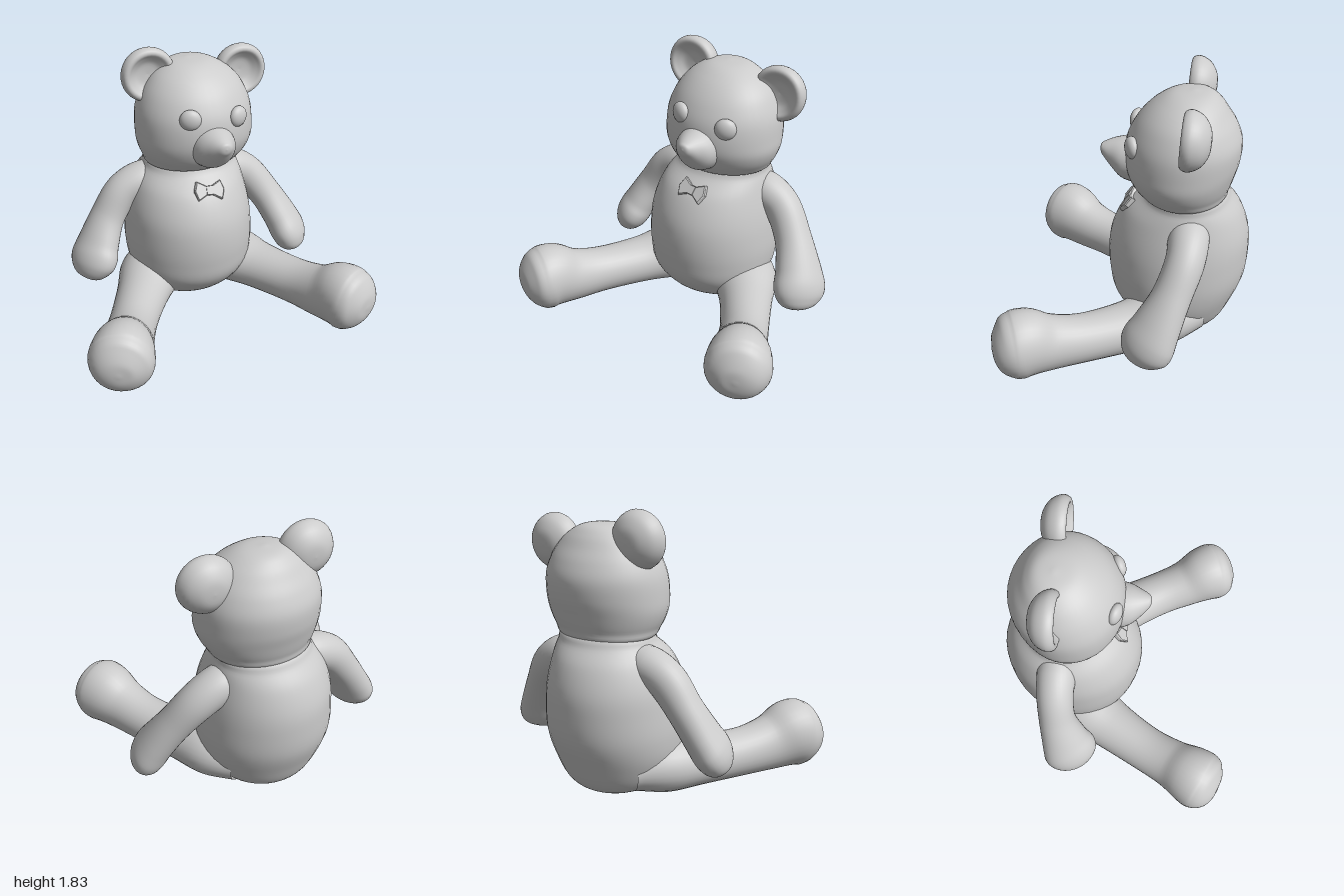
import * as THREE from 'three';
import { mergeVertices } from 'three/addons/utils/BufferGeometryUtils.js';

const material = new THREE.MeshStandardMaterial({ color: 0xcccccc, side: THREE.DoubleSide });

// Smooth loft through elliptical sections [x, y, z, radiusU, radiusV].
// U lies along ref; rings face a fixed axis, or follow the path if none is given.
function loft(sections, ref, axis = null, radial = 32, rings = 48) {
  const path = new THREE.CatmullRomCurve3(sections.map(s => new THREE.Vector3(s[0], s[1], s[2])), false, 'catmullrom');
  const radii = new THREE.CatmullRomCurve3(sections.map(s => new THREE.Vector3(s[3], s[4], 0)), false, 'catmullrom');
  const positions = [], index = [];
  for (let i = 0; i <= rings; i++) {
    const c = path.getPoint(i / rings), r = radii.getPoint(i / rings);
    const t = axis ? axis.clone() : path.getTangent(i / rings);
    const u = ref.clone().addScaledVector(t, -ref.dot(t)).normalize();
    const v = t.clone().cross(u);
    for (let j = 0; j < radial; j++) {
      const a = (j / radial) * Math.PI * 2;
      const p = c.clone()
        .addScaledVector(u, Math.cos(a) * Math.max(r.x, 0))
        .addScaledVector(v, Math.sin(a) * Math.max(r.y, 0));
      positions.push(p.x, p.y, p.z);
      if (i < rings) {
        const k = (j + 1) % radial, n = i * radial;
        index.push(n + j, n + k, n + radial + j, n + k, n + radial + k, n + radial + j);
      }
    }
  }
  const g = new THREE.BufferGeometry();
  g.setAttribute('position', new THREE.Float32BufferAttribute(positions, 3));
  g.setIndex(index);
  const merged = mergeVertices(g, 1e-5);
  merged.computeVertexNormals();
  return merged;
}

export function createModel() {
  const group = new THREE.Group();
  const add = (name, geometry, parent = group) => {
    const mesh = new THREE.Mesh(geometry, material);
    mesh.name = name;
    parent.add(mesh);
    return mesh;
  };
  const X = new THREE.Vector3(1, 0, 0), Y = new THREE.Vector3(0, 1, 0), Z = new THREE.Vector3(0, 0, 1);
  // Horizontal sections use U = x; V then runs along -z.

  // Pear-shaped body
  add('body', loft([
    [0, 0.005, -0.4, 0, 0], [0, 0.02, -0.39, 0.16, 0.15], [0, 0.09, -0.35, 0.32, 0.3],
    [0, 0.25, -0.315, 0.42, 0.41], [0, 0.42, -0.325, 0.45, 0.46], [0, 0.6, -0.33, 0.445, 0.47],
    [0, 0.75, -0.34, 0.425, 0.45], [0.01, 0.9, -0.355, 0.38, 0.385],
    [0.03, 1.0, -0.375, 0.33, 0.295], [0.04, 1.07, -0.38, 0.28, 0.23], [0.04, 1.1, -0.38, 0, 0],
  ], X, Y, 40, 60));

  // Head with a narrow neck
  add('head', loft([
    [0.04, 1.0, -0.37, 0, 0], [0.04, 1.03, -0.37, 0.29, 0.24], [0.05, 1.1, -0.345, 0.355, 0.305],
    [0.055, 1.2, -0.335, 0.395, 0.345], [0.055, 1.3, -0.34, 0.4, 0.365], [0.055, 1.42, -0.35, 0.39, 0.36],
    [0.055, 1.52, -0.355, 0.355, 0.32], [0.055, 1.6, -0.36, 0.305, 0.265], [0.05, 1.67, -0.375, 0.23, 0.2],
    [0.045, 1.72, -0.39, 0.13, 0.12], [0.04, 1.737, -0.4, 0, 0],
  ], X, Y, 40, 60));

  // Muzzle tapering into the nose
  add('muzzle', loft([
    [0.065, 1.25, -0.12, 0.165, 0.165], [0.065, 1.25, -0.02, 0.15, 0.15], [0.067, 1.26, 0.05, 0.13, 0.13],
    [0.07, 1.285, 0.11, 0.09, 0.09], [0.075, 1.305, 0.15, 0.058, 0.055],
    [0.078, 1.315, 0.173, 0.032, 0.032], [0.078, 1.318, 0.181, 0, 0],
  ], X, Z, 32, 36));

  // Flattened bulging eyes
  for (const [name, x, y, z, yaw] of [
    ['rightEye', -0.083, 1.455, -0.035, -0.35], ['leftEye', 0.25, 1.42, -0.045, 0.45],
  ]) {
    const eye = add(name, new THREE.SphereGeometry(0.071, 24, 16));
    eye.scale.z = 0.62;
    eye.rotation.y = yaw;
    eye.position.set(x, y, z);
  }

  // Cupped ears: dished front, rounded back
  const earProfile = new THREE.SplineCurve([
    [0, -0.11], [0.08, -0.1], [0.15, -0.055], [0.182, 0.01], [0.172, 0.055], [0.145, 0.066],
    [0.115, 0.045], [0.07, 0.02], [0, 0.012],
  ].map(p => new THREE.Vector2(...p)));
  const earPoints = earProfile.getPoints(32);
  earPoints[0].x = earPoints[32].x = 0;
  const earGeometry = new THREE.LatheGeometry(earPoints, 36);
  earGeometry.rotateX(Math.PI / 2);
  for (const [name, x, y, z, tilt] of [
    ['rightEar', -0.235, 1.65, -0.415, 0.75], ['leftEar', 0.42, 1.58, -0.425, -0.75],
  ]) {
    const ear = add(name, earGeometry);
    ear.position.set(x, y, z);
    ear.rotation.set(-0.05, 0, tilt);
  }

  // Outstretched legs with bulbous feet: U is vertical, V horizontal
  for (const [name, s] of [['leftLeg', 1], ['rightLeg', -1]]) {
    add(name, loft([
      [0.18, 0.2, -0.42, 0.15, 0.2], [0.32, 0.2, -0.24, 0.185, 0.22], [0.45, 0.185, -0.04, 0.162, 0.18],
      [0.6, 0.187, 0.22, 0.16, 0.16], [0.7, 0.21, 0.42, 0.187, 0.17], [0.775, 0.25, 0.56, 0.23, 0.203],
      [0.815, 0.252, 0.64, 0.22, 0.208], [0.845, 0.25, 0.7, 0.175, 0.175],
      [0.865, 0.25, 0.745, 0.09, 0.1], [0.87, 0.25, 0.757, 0, 0],
    ].map(([x, ...rest]) => [s * x, ...rest]), Y));
  }

  // Hanging arms with flat paddle hands: U is the broad direction
  add('leftArm', loft([
    [0.2, 0.87, -0.42, 0.1, 0.1], [0.34, 0.86, -0.42, 0.13, 0.125], [0.49, 0.77, -0.41, 0.125, 0.125],
    [0.62, 0.6, -0.345, 0.128, 0.115], [0.71, 0.44, -0.27, 0.16, 0.12], [0.755, 0.335, -0.22, 0.185, 0.125],
    [0.775, 0.26, -0.19, 0.165, 0.11], [0.785, 0.205, -0.175, 0.1, 0.07], [0.788, 0.185, -0.17, 0, 0],
  ], new THREE.Vector3(-0.5, 0, 0.86)));
  add('rightArm', loft([
    [-0.16, 0.9, -0.4, 0.1, 0.1], [-0.3, 0.89, -0.4, 0.13, 0.125], [-0.45, 0.82, -0.4, 0.122, 0.125],
    [-0.57, 0.66, -0.38, 0.125, 0.115], [-0.66, 0.5, -0.33, 0.16, 0.12], [-0.705, 0.41, -0.295, 0.185, 0.125],
    [-0.735, 0.34, -0.27, 0.165, 0.11], [-0.755, 0.285, -0.25, 0.1, 0.07], [-0.762, 0.265, -0.245, 0, 0],
  ], new THREE.Vector3(0.45, 0, 0.89)));

  // Bow tie leaning back on the chest
  const bow = new THREE.Group();
  bow.name = 'bowTie';
  const outline = new THREE.Shape([
    [0.022, 0.026], [0.08, 0.058], [0.098, 0], [0.08, -0.058], [0.022, -0.026],
    [-0.022, -0.026], [-0.08, -0.058], [-0.098, 0], [-0.08, 0.058], [-0.022, 0.026],
  ].map(p => new THREE.Vector2(...p)));
  add('bowWings', new THREE.ExtrudeGeometry(outline, {
    depth: 0.025, bevelThickness: 0.008, bevelSize: 0.006, bevelSegments: 1,
  }), bow);
  add('bowKnot', new THREE.BoxGeometry(0.045, 0.058, 0.05), bow).position.z = 0.014;
  bow.position.set(0.032, 0.925, -0.012);
  bow.rotation.set(-0.65, 0, -0.1);
  group.add(bow);

  return group;
}
